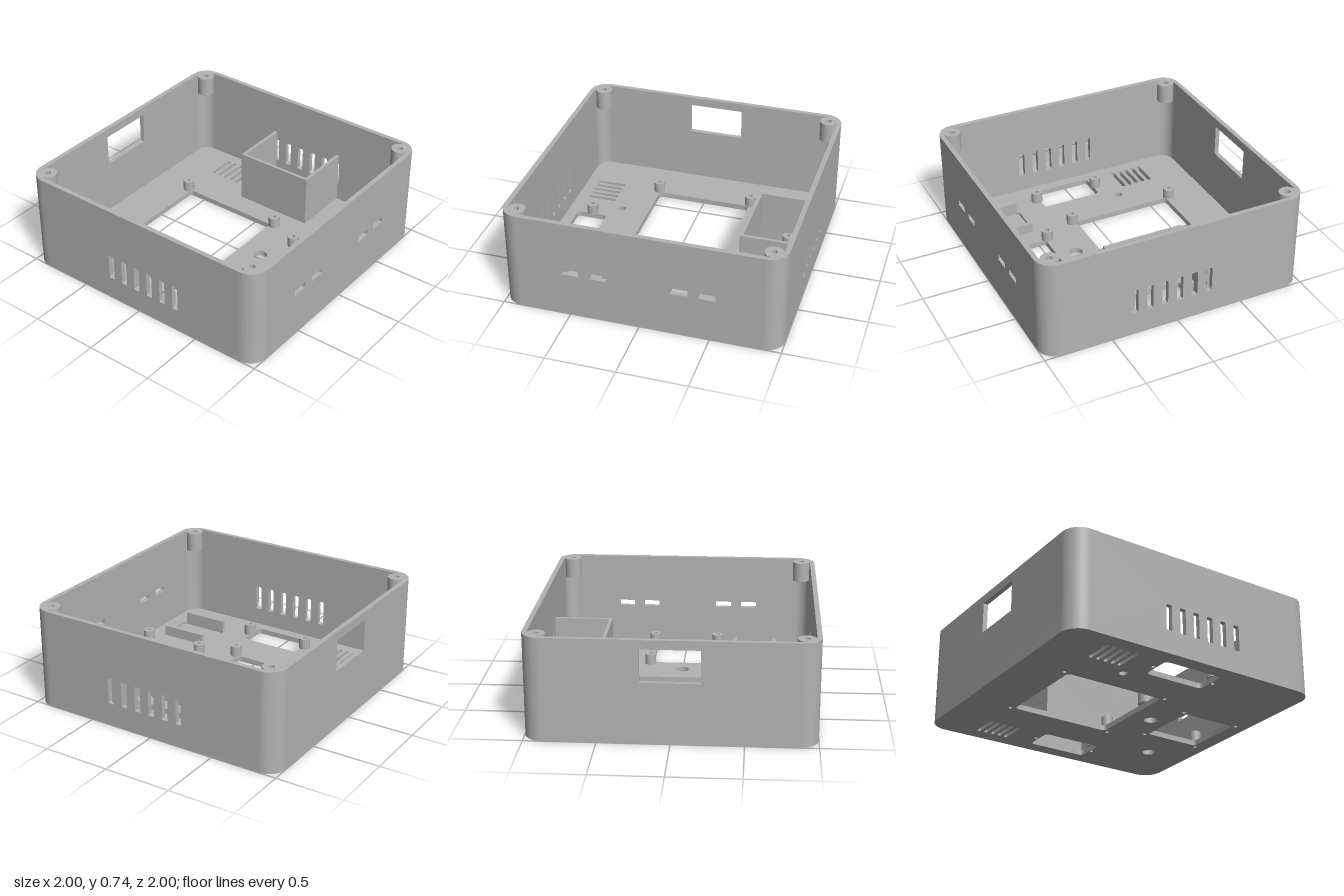
import * as THREE from 'three';
import { toCreasedNormals } from 'three/addons/utils/BufferGeometryUtils.js';

const H = 0.74, WALL = 0.035, FLOOR = 0.04, R = 0.134, C = 1 - R;

// Rounded rectangle from min to max corners
function rect(x0, y0, x1, y1, r = 0, Type = THREE.Path) {
  const p = new Type();
  if (r === 0) {
    p.moveTo(x0, y0);
    p.lineTo(x1, y0);
    p.lineTo(x1, y1);
    p.lineTo(x0, y1);
    p.closePath();
    return p;
  }
  p.moveTo(x0 + r, y0);
  p.lineTo(x1 - r, y0);
  p.absarc(x1 - r, y0 + r, r, -Math.PI / 2, 0);
  p.lineTo(x1, y1 - r);
  p.absarc(x1 - r, y1 - r, r, 0, Math.PI / 2);
  p.lineTo(x0 + r, y1);
  p.absarc(x0 + r, y1 - r, r, Math.PI / 2, Math.PI);
  p.lineTo(x0, y0 + r);
  p.absarc(x0 + r, y0 + r, r, Math.PI, Math.PI * 1.5);
  return p;
}

function circle(x, y, r, Type = THREE.Path) {
  return new Type().absarc(x, y, r, 0, Math.PI * 2);
}

function extrude(shape, depth) {
  return new THREE.ExtrudeGeometry(shape, { depth, bevelEnabled: false, curveSegments: 12 });
}

// Plan shape (x, z) raised between two heights
function raise(shape, y0, y1) {
  return toCreasedNormals(extrude(shape, y1 - y0).rotateX(Math.PI / 2).translate(0, y1, 0), 0.6);
}

export function createModel() {
  const model = new THREE.Group();
  model.name = 'enclosure';
  const grey = new THREE.MeshStandardMaterial({ color: 0xb3b3b3 });
  grey.name = 'grey plastic';
  const add = (name, geometry) => {
    const mesh = new THREE.Mesh(geometry, grey);
    mesh.name = name;
    model.add(mesh);
    return mesh;
  };

  // Standoff positions around the floor openings
  const standoffs = [];
  for (const s of [-1, 1]) {
    standoffs.push([s * 0.37, -0.66], [s * 0.37, 0.17], [s * 0.25, 0.43], [s * 0.25, 0.905],
      [s * 0.77, -0.21], [s * 0.77, 0.29]);
  }

  // Floor in two layers, the upper one with a shallow pocket
  const floorShape = () => {
    const shape = rect(-1, -1, 1, 1, R, THREE.Shape);
    shape.holes.push(
      rect(-0.36, -0.63, 0.36, 0.14, 0.03),
      rect(-0.235, 0.45, 0.23, 0.88, 0.02),
      circle(0, 0.31, 0.05), circle(0.54, 0.67, 0.05), circle(-0.57, -0.32, 0.03));
    for (const s of [-1, 1]) {
      shape.holes.push(rect(s * 0.77 - 0.115, -0.19, s * 0.77 + 0.115, 0.27, 0.03));
      for (let i = 0; i < 5; i++) {
        const z = -0.645 + i * 0.0565;
        shape.holes.push(rect(s * 0.77 - 0.11, z - 0.014, s * 0.77 + 0.11, z + 0.014, 0.0135));
      }
    }
    for (const [x, z] of standoffs) shape.holes.push(circle(x, z, 0.015));
    return shape;
  };
  add('floorBase', raise(floorShape(), 0, FLOOR / 2));
  const upper = floorShape();
  upper.holes.push(rect(-0.685, 0.48, -0.405, 0.855, 0.025));
  add('floorTop', raise(upper, FLOOR / 2, FLOOR));

  // Straight wall panels with their cut-outs
  const panel = (holes) => {
    const shape = rect(-C, FLOOR, C, H, 0, THREE.Shape);
    shape.holes.push(...holes);
    return extrude(shape, WALL);
  };
  const ports = [-0.49, -0.29, 0.285, 0.48].map((x) => rect(x - 0.06, 0.33, x + 0.06, 0.375, 0.005));
  add('frontWall', panel(ports).translate(0, 0, 1 - WALL));
  add('backWall', panel([rect(-0.205, 0.44, 0.205, 0.675)]).translate(0, 0, -1));
  for (const s of [-1, 1]) {
    const vents = [];
    for (let i = 0; i < 6; i++) {
      const u = -0.327 + i * 0.1135;
      vents.push(rect(u - 0.023, 0.17, u + 0.023, 0.36, 0.008));
    }
    add(s > 0 ? 'leftWall' : 'rightWall',
      panel(vents).rotateY(Math.PI / 2).translate(s > 0 ? 1 - WALL : -1, 0, 0));
  }

  // Rounded wall corners and the screw posts inside them
  for (let i = 0; i < 4; i++) {
    const a = i * Math.PI / 2;
    const sx = i === 0 || i === 3 ? 1 : -1, sz = i < 2 ? 1 : -1;
    const arc = new THREE.Shape();
    arc.absarc(sx * C, sz * C, R, a, a + Math.PI / 2, false);
    arc.absarc(sx * C, sz * C, R - WALL, a + Math.PI / 2, a, true);
    add('wallCorner', raise(arc, FLOOR, H));

    const post = circle(sx * 0.9, sz * 0.9, 0.064, THREE.Shape);
    post.holes.push(circle(sx * 0.9, sz * 0.9, 0.021));
    add('screwPost', raise(post, 0.62, H));
    add('screwPostBase', raise(circle(sx * 0.9, sz * 0.9, 0.064, THREE.Shape), 0.59, 0.62));
  }

  // Hollow standoffs on the floor
  for (const [x, z] of standoffs) {
    const ring = circle(x, z, 0.042, THREE.Shape);
    ring.holes.push(circle(x, z, 0.015));
    add('standoff', raise(ring, FLOOR, 0.12));
  }

  // Three-sided compartment against the left wall
  const bay = new THREE.Shape([
    [0.97, -0.262], [0.53, -0.262], [0.53, 0.342], [0.97, 0.342],
    [0.97, 0.317], [0.555, 0.317], [0.555, -0.237], [0.97, -0.237],
  ].map(([x, z]) => new THREE.Vector2(x, z)));
  add('compartmentWall', raise(bay, FLOOR, 0.43));

  // Rails either side of the pocket
  for (const x of [-0.6975, -0.3925]) {
    add('pocketRail', raise(rect(x - 0.0125, 0.495, x + 0.0125, 0.84, 0, THREE.Shape), FLOOR, 0.12));
  }
  return model;
}
